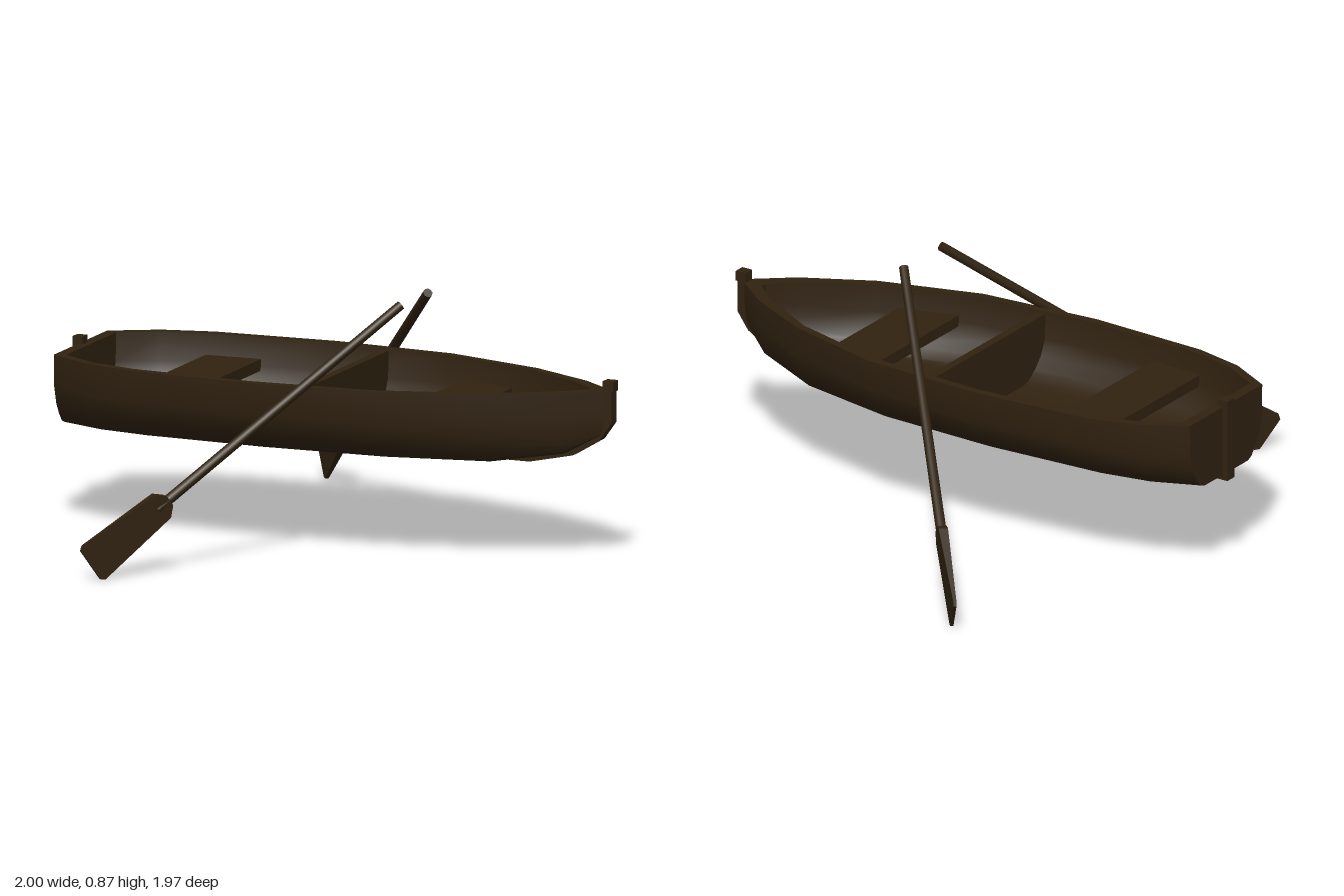
import * as THREE from 'three';
import { toCreasedNormals } from 'three/addons/utils/BufferGeometryUtils.js';

const TOP = 0.61;
// Stations from stern to bow: x, half width, bottom height
const OUTER = [
  [-0.98, 0.22, 0.362], [-0.82, 0.31, 0.36], [-0.64, 0.355, 0.36], [-0.2, 0.38, 0.36],
  [0.24, 0.35, 0.36], [0.6, 0.245, 0.362], [0.84, 0.12, 0.395], [0.975, 0.012, 0.47],
];
const INNER = [
  [-0.94, 0.205, 0.385], [-0.81, 0.28, 0.385], [-0.64, 0.325, 0.385], [-0.2, 0.35, 0.385],
  [0.24, 0.32, 0.385], [0.59, 0.217, 0.387], [0.81, 0.09, 0.42], [0.9, 0.012, 0.48],
];
// Half of the cross-section: fraction of width, fraction of height
const HALF = [[1, 1], [0.985, 0.56], [0.91, 0.32], [0.81, 0.16], [0.7, 0.04], [0.6, 0]];
const SECTION = [...HALF, [0, 0], ...HALF.map(([w, h]) => [-w, h]).reverse()];

const ring = ([x, w, bottom]) =>
  SECTION.map(([u, v]) => new THREE.Vector3(x, bottom + v * (TOP - bottom), u * w));

function hullGeometry() {
  const pos = [];
  const tri = (...p) => p.forEach((v) => pos.push(v.x, v.y, v.z));
  const quad = (a, b, c, d) => { tri(a, b, c); tri(a, c, d); };
  const fan = (r, flip) => {
    for (let j = 1; j < r.length - 1; j++) flip ? tri(r[0], r[j + 1], r[j]) : tri(r[0], r[j], r[j + 1]);
  };
  const O = OUTER.map(ring), I = INNER.map(ring);
  const last = O.length - 1, n = SECTION.length - 1;
  for (let i = 0; i < last; i++) {
    for (let j = 0; j < n; j++) {
      quad(O[i][j], O[i][j + 1], O[i + 1][j + 1], O[i + 1][j]);
      quad(I[i][j], I[i + 1][j], I[i + 1][j + 1], I[i][j + 1]);
    }
    // flat rim along both sides
    quad(O[i][0], O[i + 1][0], I[i + 1][0], I[i][0]);
    quad(O[i][n], I[i][n], I[i + 1][n], O[i + 1][n]);
  }
  // transom and bow ends
  quad(O[0][0], I[0][0], I[0][n], O[0][n]);
  quad(O[last][0], O[last][n], I[last][n], I[last][0]);
  fan(O[0], true);
  fan(I[0], false);
  fan(O[last], false);
  fan(I[last], true);
  const g = new THREE.BufferGeometry();
  g.setAttribute('position', new THREE.Float32BufferAttribute(pos, 3));
  return toCreasedNormals(g, 0.6);
}

function extrude(points, depth) {
  const shape = new THREE.Shape(points.map(([x, y]) => new THREE.Vector2(x, y)));
  return new THREE.ExtrudeGeometry(shape, { depth, bevelEnabled: false });
}

// Oar running from the grip down to the blade; side is +1 or -1 along z
function makeOar(side, wood) {
  const oar = new THREE.Group();
  oar.name = side > 0 ? 'frontOar' : 'backOar';
  const grip = new THREE.Vector3(0.255, 0.865, 0.112 * side);
  const tip = new THREE.Vector3(-0.515, 0.063, 0.957 * side);
  const along = tip.clone().sub(grip);
  const length = along.length();
  along.normalize();
  const flat = new THREE.Vector3(0, 1, 0).cross(along).normalize();
  const across = along.clone().cross(flat);
  oar.matrixAutoUpdate = true;
  oar.quaternion.setFromRotationMatrix(new THREE.Matrix4().makeBasis(across, along, flat.clone()
    .copy(across.clone().cross(along))));
  oar.position.copy(grip);

  const shaftLength = length - 0.3;
  const shaft = new THREE.Mesh(new THREE.CylinderGeometry(0.018, 0.016, shaftLength, 10), wood);
  shaft.name = 'oarShaft';
  shaft.position.y = shaftLength / 2;
  oar.add(shaft);

  // blade widens and thins towards its end
  const s = length - 0.35;
  const g = extrude([
    [-0.02, s], [0.02, s], [0.05, s + 0.03], [0.074, length - 0.015], [0.062, length],
    [-0.062, length], [-0.074, length - 0.015], [-0.05, s + 0.03],
  ], 1);
  const p = g.attributes.position;
  for (let i = 0; i < p.count; i++) {
    const t = (p.getY(i) - s) / 0.35;
    p.setZ(i, (p.getZ(i) - 0.5) * THREE.MathUtils.lerp(0.034, 0.01, t));
  }
  g.computeVertexNormals();
  const blade = new THREE.Mesh(g, wood);
  blade.name = 'oarBlade';
  oar.add(blade);
  return oar;
}

export function createModel() {
  const boat = new THREE.Group();
  boat.name = 'rowingBoat';
  const wood = new THREE.MeshStandardMaterial({ color: 0x302210 });
  wood.name = 'darkWood';
  const add = (name, geometry, x = 0, y = 0, z = 0) => {
    const mesh = new THREE.Mesh(geometry, wood);
    mesh.name = name;
    mesh.position.set(x, y, z);
    boat.add(mesh);
  };

  add('hull', hullGeometry());

  // keel curving up into the stem
  add('keelAndStem', extrude([
    [-0.97, 0.345], [0.69, 0.345], [0.85, 0.38], [0.95, 0.44], [0.993, 0.5], [0.993, 0.61],
    [1, 0.61], [1, 0.645], [0.96, 0.645], [0.96, 0.52], [0.92, 0.47], [0.83, 0.42],
    [0.68, 0.37], [-0.97, 0.37],
  ], 0.04), 0, 0, -0.02);
  add('sternPost', new THREE.BoxGeometry(0.037, 0.29, 0.042), -0.9815, 0.49, 0);

  // bench seats tapered to the hull
  for (const [name, x0, w0, x1, w1] of [
    ['aftSeat', -0.66, 0.33, -0.46, 0.343], ['foreSeat', 0.305, 0.312, 0.51, 0.25],
  ]) {
    const g = extrude([[x0, -w0], [x1, -w1], [x1, w1], [x0, w0]], 0.04);
    g.rotateX(Math.PI / 2);
    add(name, g, 0, 0.535, 0);
  }

  // upright divider across the middle
  const divider = extrude(ring([0, 0.342, 0.38]).map((p) => [p.z, Math.min(p.y, 0.603)]), 0.03);
  divider.rotateY(Math.PI / 2);
  add('divider', divider, -0.02, 0, 0);

  for (const side of [1, -1]) boat.add(makeOar(side, wood));
  return boat;
}
